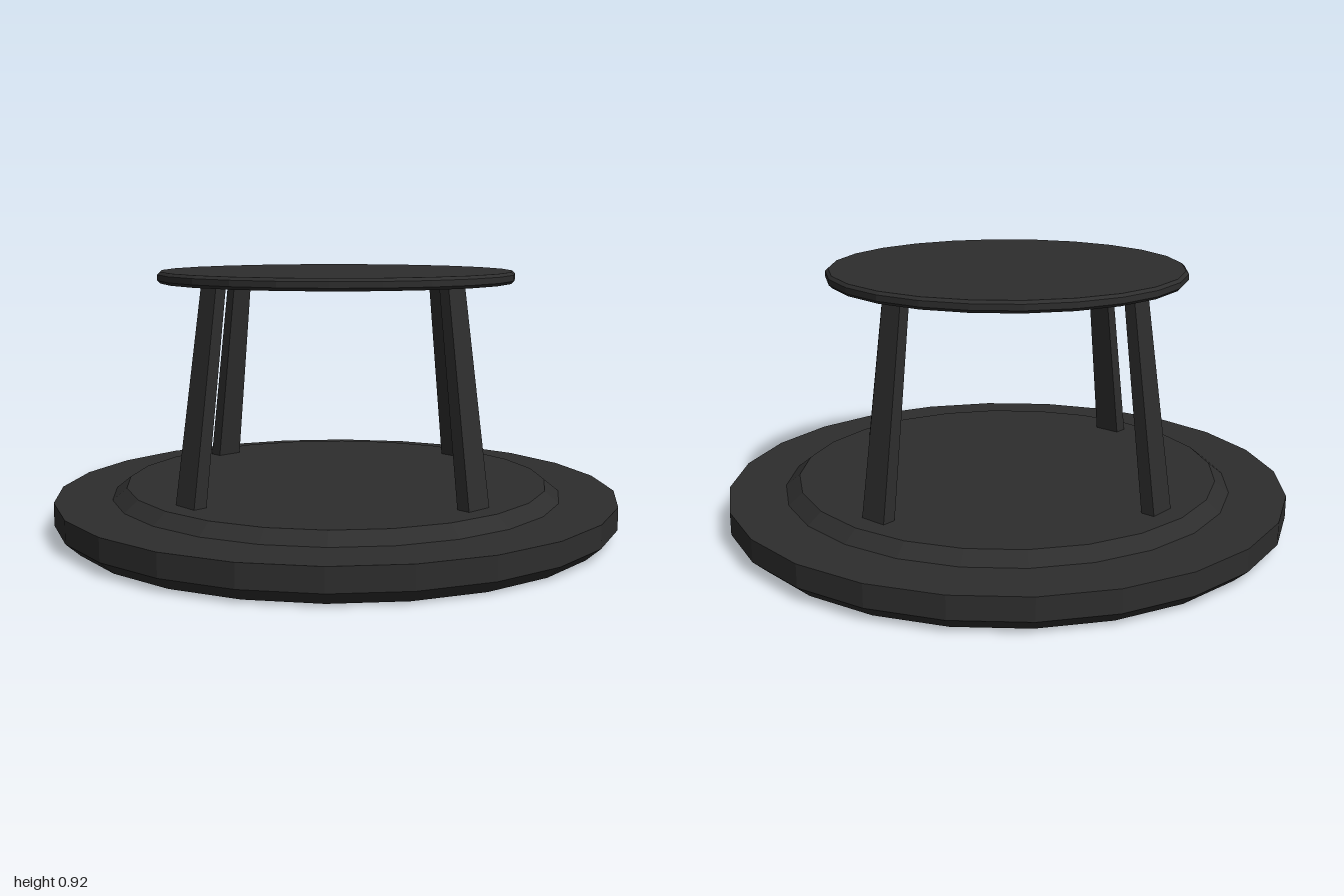
import * as THREE from 'three';

const SIDES = 24;

// Faceted turned solid from [radius, height] points, bottom to top
function turned(name, points, material) {
  const profile = points.map(([r, y]) => new THREE.Vector2(r, y));
  const geometry = new THREE.LatheGeometry(profile, SIDES).toNonIndexed();
  geometry.computeVertexNormals();
  const mesh = new THREE.Mesh(geometry, material);
  mesh.name = name;
  return mesh;
}

// Tapered bar leaning inwards from the base to the top disc
function legGeometry() {
  const bottom = { y: 0.16, z: 0.65, width: 0.1, depth: 0.05 };
  const top = { y: 0.88, z: 0.545, width: 0.08, depth: 0.04 };
  const geometry = new THREE.BoxGeometry(1, 1, 1);
  const p = geometry.attributes.position;
  for (let i = 0; i < p.count; i++) {
    const end = p.getY(i) > 0 ? top : bottom;
    p.setXYZ(i, p.getX(i) * end.width, end.y, end.z + p.getZ(i) * end.depth);
  }
  geometry.computeVertexNormals();
  return geometry;
}

export function createModel() {
  const group = new THREE.Group();
  group.name = 'roundStand';
  const charcoal = new THREE.MeshStandardMaterial({ color: 0x2d2d2d });
  charcoal.name = 'charcoal';

  // Wide base with a bevelled underside and a raised step
  group.add(turned('base', [
    [0, 0], [0.95, 0], [1, 0.045], [1, 0.125],
    [0.8, 0.125], [0.75, 0.165], [0, 0.165],
  ], charcoal));

  // Top disc with a softly bevelled rim
  group.add(turned('topDisc', [
    [0, 0.875], [0.62, 0.875], [0.63, 0.885],
    [0.63, 0.905], [0.62, 0.915], [0, 0.915],
  ], charcoal));

  // Four legs, one on each side
  const geometry = legGeometry();
  ['frontLeg', 'leftLeg', 'backLeg', 'rightLeg'].forEach((name, i) => {
    const leg = new THREE.Mesh(geometry, charcoal);
    leg.name = name;
    leg.rotation.y = i * Math.PI / 2;
    group.add(leg);
  });

  return group;
}
